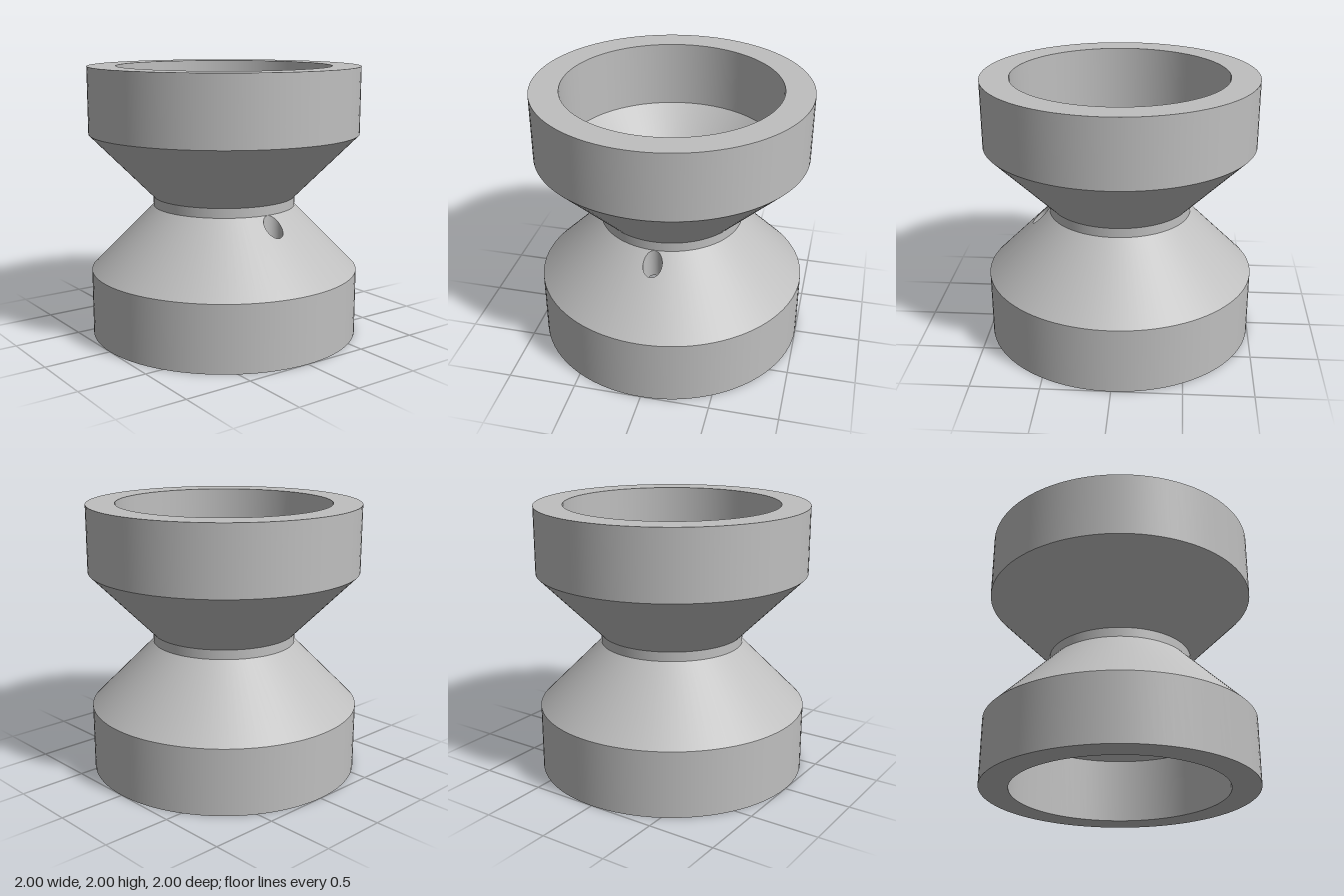
import * as THREE from 'three';

const SEG = 96;
const GAP = Math.PI / 12;              // half-angle of the cone sector that holds the drilled hole
const HOLE = { x: 0.6, r: 0.069 };
const SIDE = 8, RINGS = 6, N = SIDE * 4;

// Profile corners, from the bottom up
const R = 1, BORE = 0.79, NECK = 0.53, THROAT = 0.32;
const Y = [0, 0.49, 0.965, 1.035, 1.51, 2];

// Directions around the hole, evenly spaced along a square border
const angles = Array.from({ length: N }, (_, i) =>
  Math.floor(i / SIDE) * Math.PI / 2 + Math.atan((i % SIDE) / (SIDE / 2) - 1));

const coneY = (r, top) => Y[2] - (r - top) * (Y[2] - Y[1]) / (R - NECK);

function buildGeometry(positions, normals, index) {
  const g = new THREE.BufferGeometry();
  g.setAttribute('position', new THREE.Float32BufferAttribute(positions, 3));
  g.setAttribute('normal', new THREE.Float32BufferAttribute(normals, 3));
  g.setIndex(index);
  return g;
}

// Joins two neighbouring loops of N points
function joinLoops(index, a, b, flip) {
  for (let i = 0; i < N; i++) {
    const j = (i + 1) % N;
    const q = [a + i, b + i, a + j, b + i, b + j, a + j];
    index.push(...(flip ? q.reverse() : q));
  }
}

// Sector of a lower cone, between radii r0 and r1, pierced by the hole
function piercedSector(r0, r1, facesUp) {
  const pos = [], nor = [], index = [];
  const n = Math.SQRT1_2 * (facesUp ? 1 : -1);
  for (let k = 0; k <= RINGS; k++) {
    for (const t of angles) {
      const c = Math.cos(t), s = Math.sin(t), m = Math.max(Math.abs(c), Math.abs(s));
      const hx = HOLE.x + HOLE.r * c, hz = HOLE.r * s;
      const edgeR = HOLE.x + (c / m) * (c > 0 ? r1 - HOLE.x : HOLE.x - r0);
      const r = THREE.MathUtils.lerp(Math.hypot(hx, hz), edgeR, k / RINGS);
      const a = THREE.MathUtils.lerp(Math.atan2(hz, hx), (s / m) * GAP, k / RINGS);
      pos.push(r * Math.cos(a), coneY(r, r0), r * Math.sin(a));
      nor.push(n * Math.cos(a), n, n * Math.sin(a));
    }
    if (k) joinLoops(index, (k - 1) * N, k * N, facesUp);
  }
  return buildGeometry(pos, nor, index);
}

// Vertical wall of the hole, from the outer cone to the inner cone
function holeWall() {
  const pos = [], nor = [], index = [];
  for (const top of [NECK, THROAT]) {
    for (const t of angles) {
      const x = HOLE.x + HOLE.r * Math.cos(t), z = HOLE.r * Math.sin(t);
      pos.push(x, coneY(Math.hypot(x, z), top), z);
      nor.push(-Math.cos(t), 0, -Math.sin(t));
    }
  }
  joinLoops(index, 0, N, false);
  return buildGeometry(pos, nor, index);
}

export function createModel() {
  const model = new THREE.Group();
  model.name = 'flaredSpool';
  const grey = new THREE.MeshStandardMaterial({ color: 0xbfbfbf });
  grey.name = 'grey';

  const add = (name, geometry) => {
    const mesh = new THREE.Mesh(geometry, grey);
    mesh.name = name;
    model.add(mesh);
  };

  // One turned band between two profile points, optionally leaving the hole sector open
  const band = (name, r0, y0, r1, y1, open = false) => {
    const pts = [new THREE.Vector2(r0, y0), new THREE.Vector2(r1, y1)];
    add(name, open
      ? new THREE.LatheGeometry(pts, SEG - SIDE, Math.PI / 2 + GAP, Math.PI * 2 - 2 * GAP)
      : new THREE.LatheGeometry(pts, SEG));
  };

  // Outside, going up
  band('lowerDrum', R, Y[0], R, Y[1]);
  band('lowerCone', R, Y[1], NECK, Y[2], true);
  band('neck', NECK, Y[2], NECK, Y[3]);
  band('upperCone', NECK, Y[3], R, Y[4]);
  band('upperDrum', R, Y[4], R, Y[5]);
  band('topRim', R, Y[5], BORE, Y[5]);

  // Inside, going down
  band('upperBore', BORE, Y[5], BORE, Y[4]);
  band('upperFunnel', BORE, Y[4], THROAT, Y[3]);
  band('throat', THROAT, Y[3], THROAT, Y[2]);
  band('lowerFunnel', THROAT, Y[2], BORE, Y[1], true);
  band('lowerBore', BORE, Y[1], BORE, Y[0]);
  band('bottomRim', BORE, Y[0], R, Y[0]);

  // Hole drilled straight down through the lower cone
  add('lowerConeHoleSector', piercedSector(NECK, R, true));
  add('lowerFunnelHoleSector', piercedSector(THROAT, BORE, false));
  add('holeWall', holeWall());

  return model;
}
